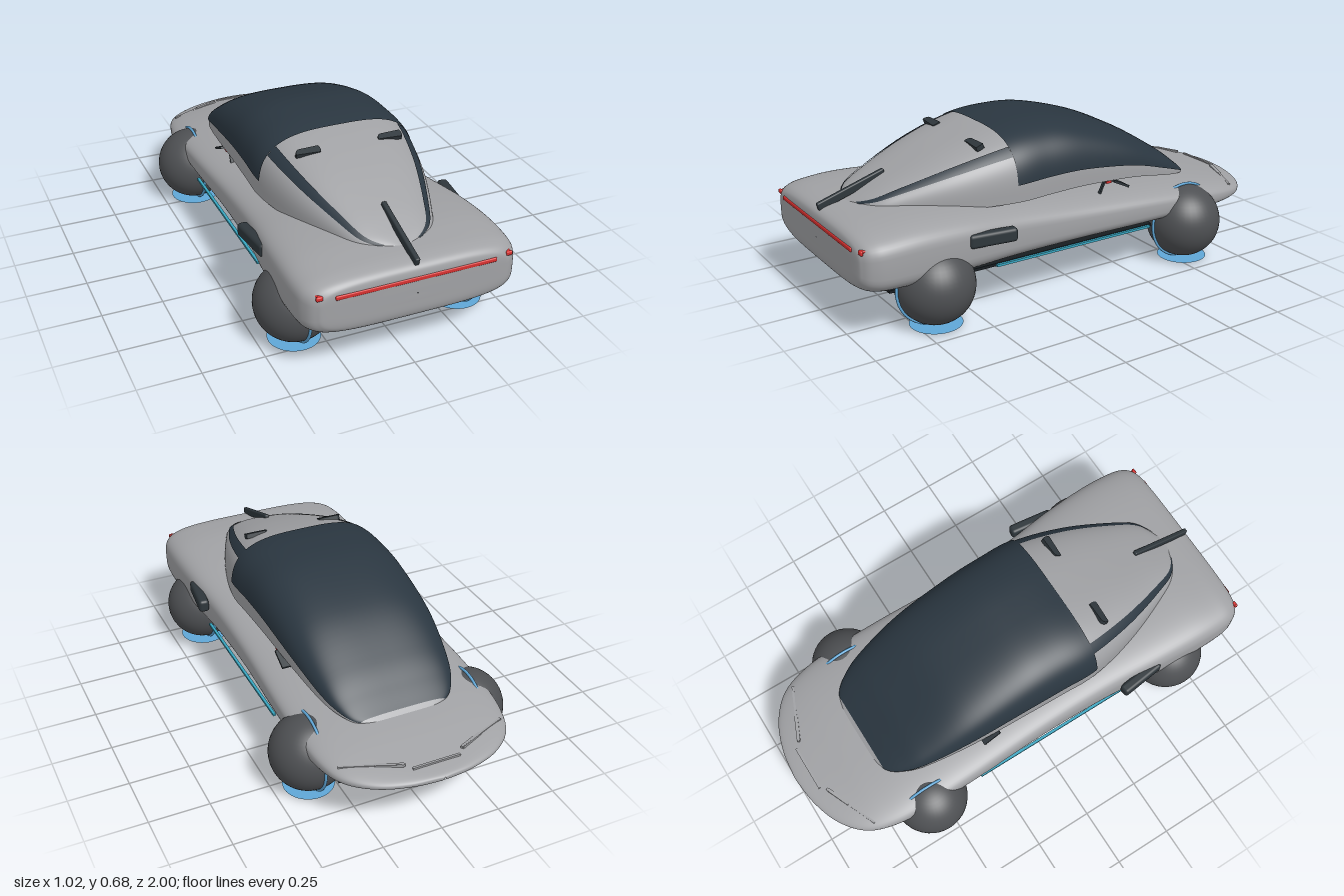
import * as THREE from 'three';
import { RoundedBoxGeometry } from 'three/addons/geometries/RoundedBoxGeometry.js';

const mat = (name, color, side = THREE.FrontSide) => {
  const m = new THREE.MeshStandardMaterial({ color, side });
  m.name = name;
  return m;
};

// Catmull-Rom interpolation through rows of numbers
function sample(rows, u) {
  const last = rows.length - 1;
  const i = Math.min(Math.floor(u), last - 1), t = u - i;
  const [a, b, c, d] = [i - 1, i, i + 1, i + 2].map(k => rows[Math.max(0, Math.min(last, k))]);
  return b.map((p1, k) => {
    const m1 = (c[k] - a[k]) / 2, m2 = (d[k] - p1) / 2, q = c[k] - p1;
    return p1 + t * (m1 + t * (3 * q - 2 * m1 - m2 + t * (m1 + m2 - 2 * q)));
  });
}

const spow = (v, p) => Math.sign(v) * Math.pow(Math.abs(v), p);

// Surface over a grid of u (stations) and t (angle around the section)
function loft(point, u0, u1, t0, t1, nu, nt, closed = false) {
  const pos = [], idx = [], cols = closed ? nt : nt + 1;
  for (let i = 0; i <= nu; i++)
    for (let j = 0; j < cols; j++)
      pos.push(...point(u0 + (u1 - u0) * i / nu, t0 + (t1 - t0) * j / nt));
  for (let i = 0; i < nu; i++)
    for (let j = 0; j < nt; j++) {
      const k = (j + 1) % cols;
      const a = i * cols + j, b = i * cols + k, c = a + cols, d = b + cols;
      idx.push(a, b, c, b, d, c);
    }
  const g = new THREE.BufferGeometry();
  g.setAttribute('position', new THREE.Float32BufferAttribute(pos, 3));
  g.setIndex(idx);
  g.computeVertexNormals();
  return g;
}

// Body stations: z, half width, bottom, top, roundness exponent
const BODY = [
  [-1, 0.004, 0.238, 0.248, 2.2], [-0.985, 0.13, 0.226, 0.257, 2.2], [-0.94, 0.255, 0.212, 0.269, 2.3],
  [-0.86, 0.35, 0.198, 0.288, 2.5], [-0.75, 0.395, 0.187, 0.312, 2.8], [-0.6, 0.412, 0.182, 0.335, 3],
  [-0.35, 0.412, 0.18, 0.356, 3.3], [0, 0.402, 0.18, 0.377, 3.6], [0.3, 0.41, 0.18, 0.408, 3.8],
  [0.55, 0.434, 0.18, 0.437, 4], [0.75, 0.445, 0.18, 0.448, 4], [0.89, 0.441, 0.182, 0.44, 4],
  [0.95, 0.425, 0.19, 0.43, 4], [0.982, 0.395, 0.208, 0.415, 4], [0.994, 0.345, 0.235, 0.39, 4],
  [0.996, 0.15, 0.28, 0.34, 4], [0.996, 0.002, 0.309, 0.311, 4],
];
// Canopy stations: z, half width, lower edge, top
const CANOPY = [
  [-0.685, 0.12, 0.318, 0.322], [-0.66, 0.195, 0.323, 0.342], [-0.6, 0.245, 0.338, 0.392],
  [-0.5, 0.282, 0.36, 0.467], [-0.3, 0.315, 0.398, 0.582], [-0.05, 0.33, 0.416, 0.661],
  [0.12, 0.335, 0.415, 0.677], [0.285, 0.335, 0.41, 0.661],
  [0.5, 0.288, 0.41, 0.6], [0.7, 0.212, 0.41, 0.523], [0.81, 0.152, 0.41, 0.473], [0.87, 0.05, 0.41, 0.442],
];
const SPLIT = 7;       // station where the glass meets the hatch
const POWER = 2 / 3.2; // canopy section roundness

function bodyPoint(u, t) {
  const [z, w, lo, hi, n] = sample(BODY, u), p = 2 / n;
  return [w * spow(Math.cos(t), p), (lo + hi) / 2 + (hi - lo) / 2 * spow(Math.sin(t), p), z];
}
const canopyPoint = off => (u, t) => {
  const [z, w, lo, hi] = sample(CANOPY, u);
  return [(w + off) * spow(Math.cos(t), POWER), lo + (hi - lo + off) * spow(Math.sin(t), POWER), z];
};
// Section angle at a fraction of the canopy height
const angleAt = f => Math.asin(Math.pow(f, 1 / POWER));

export function createModel() {
  const silver = mat('silver paint', 0xa0a1a4);
  const silverShell = mat('silver shell', 0xa0a1a4, THREE.DoubleSide);
  const glass = mat('dark glass', 0x2a3640, THREE.DoubleSide);
  const trim = mat('dark trim', 0x2e363b);
  const rubber = mat('wheel grey', 0x4e5053);
  const blue = mat('blue glow', 0x5fa6d6, THREE.DoubleSide);
  const teal = mat('teal glow', 0x38a5c0);
  const red = mat('red light', 0xd8302f);
  const black = mat('underbody black', 0x171c20);

  const car = new THREE.Group();
  car.name = 'car';
  const add = (name, geo, m, pos = [0, 0, 0], rot = [0, 0, 0]) => {
    const mesh = new THREE.Mesh(geo, m);
    mesh.name = name;
    mesh.position.set(...pos);
    mesh.rotation.set(...rot);
    car.add(mesh);
    return mesh;
  };
  const box = (x, y, z) => new THREE.BoxGeometry(x, y, z);
  const round = (x, y, z, r) => new RoundedBoxGeometry(x, y, z, 3, r);

  // Main body and floor
  add('body', loft(bodyPoint, 0, BODY.length - 1, 0, Math.PI * 2, 112, 72, true), silver);
  add('undertray', box(0.65, 0.012, 1.62), black, [0, 0.165, 0.04]);

  // Canopy: silver shell, windscreen glass and hatch stripes
  const end = CANOPY.length - 1, tg = angleAt(0.28);
  add('canopyShell', loft(canopyPoint(0), 0, end, 0, Math.PI, 77, 64), silverShell);
  add('canopyGlass', loft(canopyPoint(0.005), 0.8, SPLIT, tg, Math.PI - tg, 44, 56), glass);
  const ta = angleAt(0.7), tb = angleAt(0.83);
  add('hatchStripeLeft', loft(canopyPoint(0.004), SPLIT, end - 0.4, ta, tb, 28, 6), glass);
  add('hatchStripeRight', loft(canopyPoint(0.004), SPLIT, end - 0.4, Math.PI - tb, Math.PI - ta, 28, 6), glass);

  // Tail fin and light bar
  add('tailFin', round(0.02, 0.034, 0.3, 0.006), trim, [0, 0.475, 0.84], [0.31, 0, 0]);
  add('tailLightBar', round(0.65, 0.018, 0.014, 0.005), red, [0, 0.37, 0.992]);

  // Nose slat
  add('noseSlatCentre', box(0.2, 0.01, 0.01), silver, [0, 0.272, -0.932]);

  // Tapered hatch vent outline
  const vent = new THREE.Shape();
  vent.moveTo(-0.05, -0.012);
  vent.lineTo(0.05, -0.018);
  vent.quadraticCurveTo(0.056, 0, 0.05, 0.016);
  vent.lineTo(-0.035, 0.014);
  vent.quadraticCurveTo(-0.052, 0.008, -0.05, -0.012);
  const ventGeo = new THREE.ExtrudeGeometry(vent, { depth: 0.02, bevelEnabled: false });

  for (const s of [1, -1]) {
    const side = s > 0 ? 'Left' : 'Right';

    // Ball wheels with a glowing hoop and contact disc
    for (const [end, z] of [['front', -0.55], ['rear', 0.672]]) {
      add(end + 'Wheel' + side, new THREE.SphereGeometry(0.158, 40, 28), rubber, [s * 0.353, 0.168, z]);
      add(end + 'WheelHoop' + side, new THREE.TorusGeometry(0.162, 0.006, 10, 56), blue,
        [s * 0.35, 0.168, z], [0, Math.PI / 2, 0]);
      add(end + 'WheelDisc' + side, new THREE.CircleGeometry(0.105, 40), blue,
        [s * 0.353, 0.006, z], [-Math.PI / 2, 0, 0]);
    }

    // Side pods, sill lights and corner lights
    add('sidePod' + side, round(0.045, 0.056, 0.2, 0.014), trim, [s * 0.431, 0.337, 0.46], [0, -s * 0.12, 0]);
    add('sillLight' + side, box(0.012, 0.01, 0.75), teal, [s * 0.4, 0.2, 0.05]);
    add('cornerLight' + side, round(0.014, 0.018, 0.05, 0.005), red, [s * 0.387, 0.377, 0.967], [0, -s * 0.5, 0]);
    add('cornerLens' + side, round(0.026, 0.018, 0.012, 0.005), red, [s * 0.383, 0.377, 0.984]);

    // Hatch vents
    const v = add('hatchVent' + side, ventGeo, trim, [s * 0.175, 0.617, 0.384], [-1.2, 0, 0]);
    if (s < 0) v.rotation.set(1.2 - Math.PI + Math.PI, 0, Math.PI);
    if (s < 0) v.rotation.set(-1.2, 0, 0);

    // Angled nose slats
    add('noseSlat' + side, box(0.25, 0.01, 0.009), silver, [s * 0.235, 0.278, -0.86], [0, -s * 0.4, -s * 0.03]);
    add('noseSlatPad' + side, box(0.11, 0.014, 0.014), silver, [s * 0.175, 0.278, -0.885], [0, -s * 0.4, 0]);

    // Small mirrors tucked below the canopy edge
    add('mirrorArm' + side, box(0.012, 0.06, 0.008), trim, [s * 0.305, 0.382, -0.145], [-0.45, 0, 0]);
    add('mirrorPlate' + side, box(0.06, 0.01, 0.085), trim, [s * 0.305, 0.388, -0.225], [-0.45, 0, 0]);
    add('mirrorLight' + side, box(0.03, 0.01, 0.025), red, [s * 0.305, 0.402, -0.17]);
  }
  return car;
}
